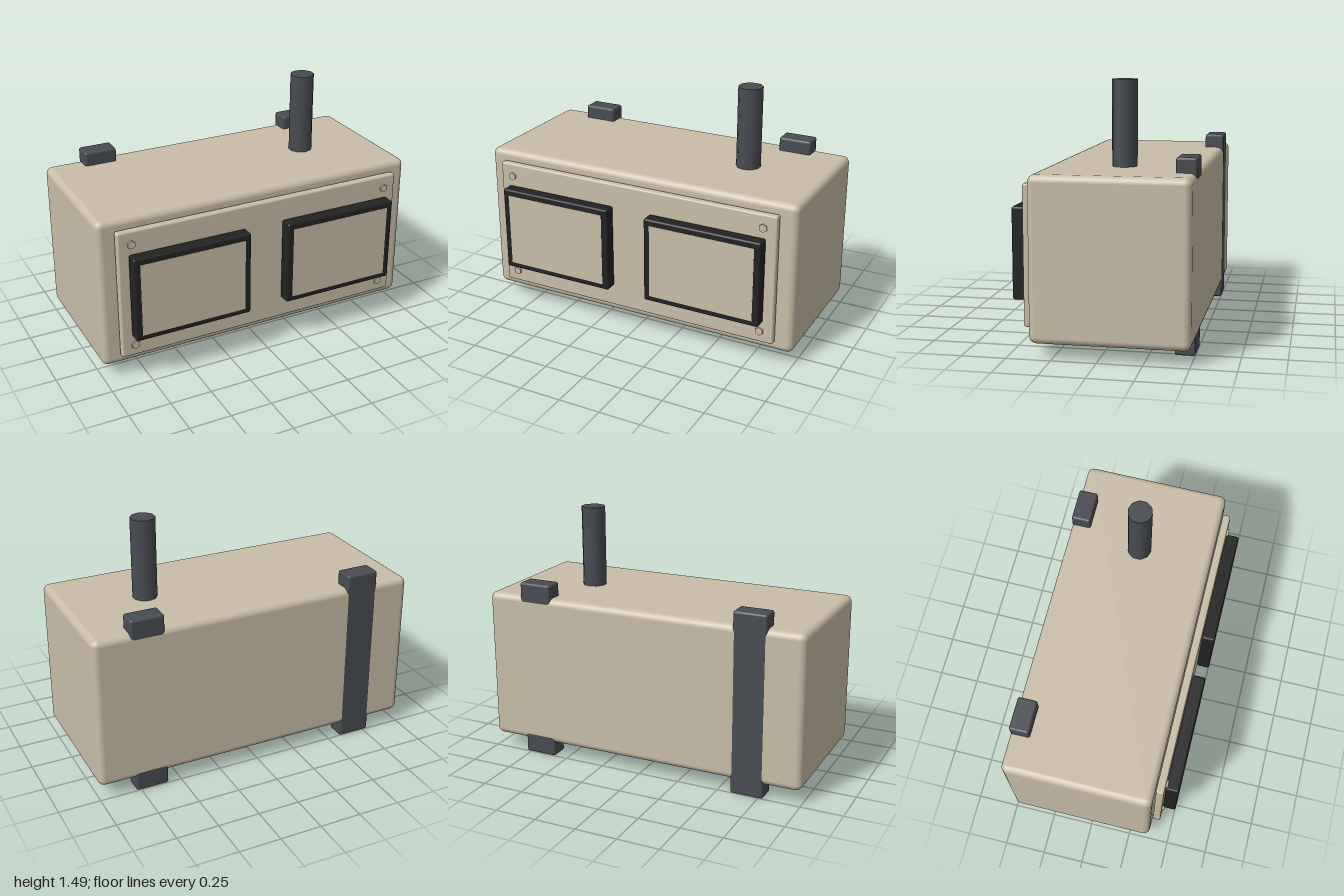
import * as THREE from 'three';
import { RoundedBoxGeometry } from 'three/addons/geometries/RoundedBoxGeometry.js';

const mat = (name, color) => {
  const m = new THREE.MeshStandardMaterial({ color });
  m.name = name;
  return m;
};

export function createModel() {
  const tan = mat('tan paint', 0xc8bda7);
  const steel = mat('dark grey steel', 0x484c51);
  const black = mat('black rubber', 0x222222);
  const model = new THREE.Group();
  model.name = 'equipmentBox';

  const add = (name, geometry, material, x, y, z) => {
    const mesh = new THREE.Mesh(geometry, material);
    mesh.name = name;
    mesh.position.set(x, y, z);
    model.add(mesh);
    return mesh;
  };

  // Box given by its limits, with rounded edges
  const rounded = (name, material, [x0, x1], [y0, y1], [z0, z1], r) =>
    add(name, new RoundedBoxGeometry(x1 - x0, y1 - y0, z1 - z0, 3, r), material,
      (x0 + x1) / 2, (y0 + y1) / 2, (z0 + z1) / 2);

  // Housing and raised front plate
  rounded('housing', tan, [-1, 1], [0.083, 1], [-0.504, 0.375], 0.04);
  rounded('frontPlate', tan, [-0.9, 0.9], [0.15, 0.94], [0.378, 0.425], 0.012);

  // Mounting straps up the back; the one on the left sits just inside the back wall
  rounded('rightStrap', steel, [-0.78, -0.58], [0, 1.083], [-0.505, -0.388], 0.014);
  rounded('leftStrap', steel, [0.58, 0.78], [0, 1.083], [-0.503, -0.388], 0.014);

  // Exhaust pipe
  add('pipe', new THREE.CylinderGeometry(0.0725, 0.0725, 0.5, 10), steel, 0.518, 1.235, -0.064);

  for (const side of [-1, 1]) {
    // Black window surround with a panel flush in its face
    const x = side * 0.48;
    rounded('windowFrame', black, [x - 0.36, x + 0.36], [0.285, 0.803], [0.425, 0.504], 0.012);
    add('windowPanel', new THREE.BoxGeometry(0.645, 0.448, 0.006), tan, x, 0.542, 0.502);

    // Hexagonal corner bolts
    for (const y of [0.222, 0.862]) {
      const bolt = add('bolt', new THREE.CylinderGeometry(0.025, 0.025, 0.03, 6), tan, side * 0.82, y, 0.421);
      bolt.rotation.x = Math.PI / 2;
    }
  }
  return model;
}
